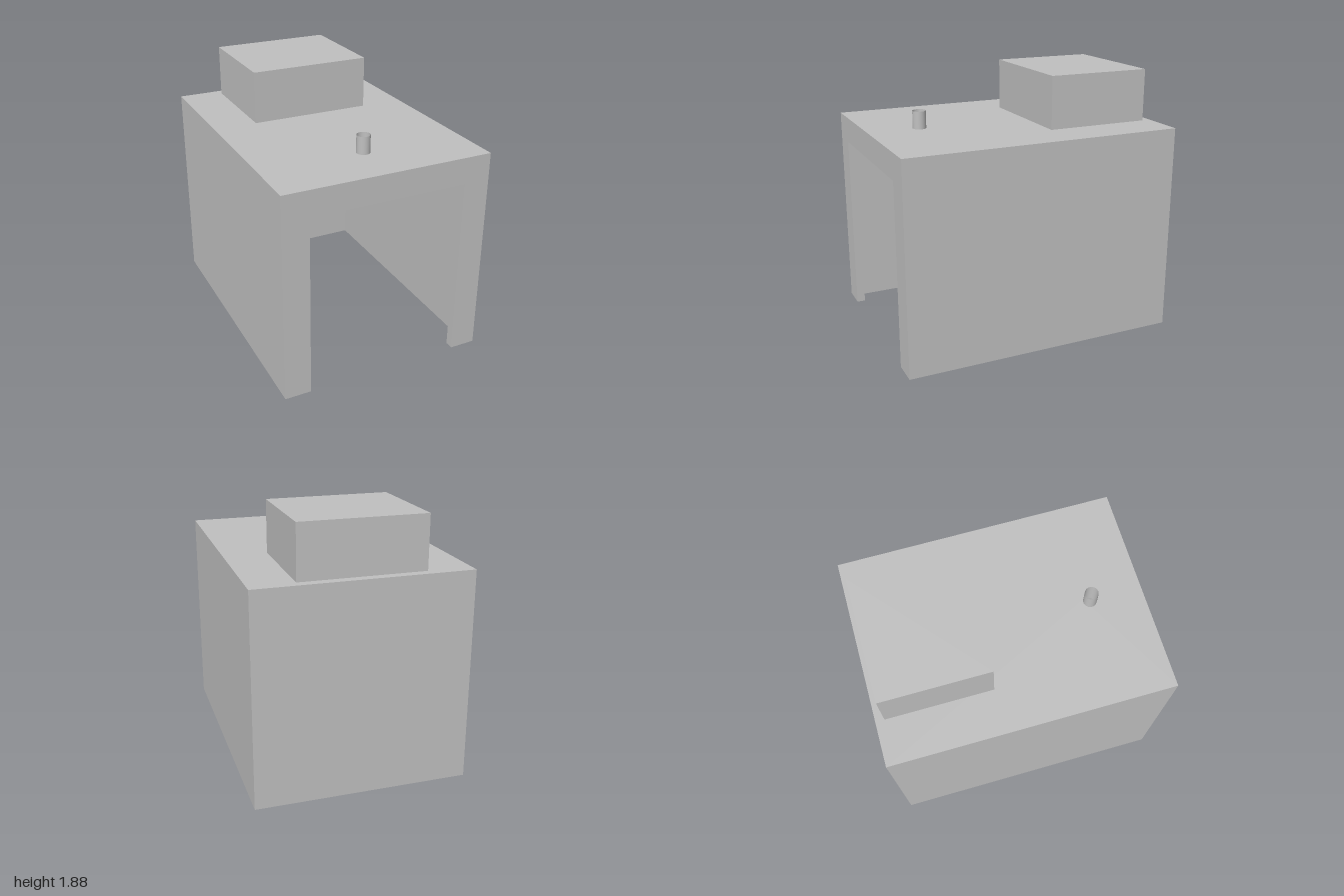
import * as THREE from 'three';

export function createModel() {
  const group = new THREE.Group();
  const grey = new THREE.MeshStandardMaterial({ color: 0xc0c0c0 });
  const greySheet = new THREE.MeshStandardMaterial({ color: 0xc0c0c0, side: THREE.DoubleSide });
  const W = 0.75, L = 1, H = 1.5, T = 0.06;
  const pipeR = 0.0475, pipeZ = 0.625;

  const add = (name, geometry, material = grey) => {
    const mesh = new THREE.Mesh(geometry, material);
    mesh.name = name;
    group.add(mesh);
    return mesh;
  };
  const outline = (points) => new THREE.Shape(points.map(([x, y]) => new THREE.Vector2(x, y)));
  const extrude = (shape, depth) =>
    new THREE.ExtrudeGeometry(shape, { depth, bevelEnabled: false, curveSegments: 32 });

  // Side and back walls as one U-shaped plan (plan y is -z)
  const plan = outline([
    [-W, -L + T], [-W + T, -L + T], [-W + T, L - T], [W - T, L - T],
    [W - T, -L + T], [W, -L + T], [W, L], [-W, L],
  ]);
  add('walls', extrude(plan, H - T).rotateX(-Math.PI / 2));

  // Front frame around the doorway
  const frame = outline([
    [-W, 0], [-0.5625, 0], [-0.5625, 1.3125], [0.5625, 1.3125],
    [0.5625, 0], [W, 0], [W, H - T], [-W, H - T],
  ]);
  add('frontFrame', extrude(frame, T)).position.z = L - T;

  // Flat roof, pierced for the pipe
  const slab = outline([[-W, -L], [W, -L], [W, L], [-W, L]]);
  slab.holes.push(new THREE.Path().absarc(0, -pipeZ, pipeR, 0, Math.PI * 2, true));
  add('roof', extrude(slab, T).rotateX(-Math.PI / 2)).position.y = H - T;

  // Box on the rear of the roof
  add('roofBox', new THREE.BoxGeometry(0.875, 0.375, 0.75)).position.set(0, H + 0.1875, -0.5625);

  // Thin open pipe running through the roof
  add('ventPipe', new THREE.CylinderGeometry(pipeR, pipeR, 0.125 + T, 32, 1, true), greySheet)
    .position.set(0, H - T + (0.125 + T) / 2, pipeZ);

  return group;
}
